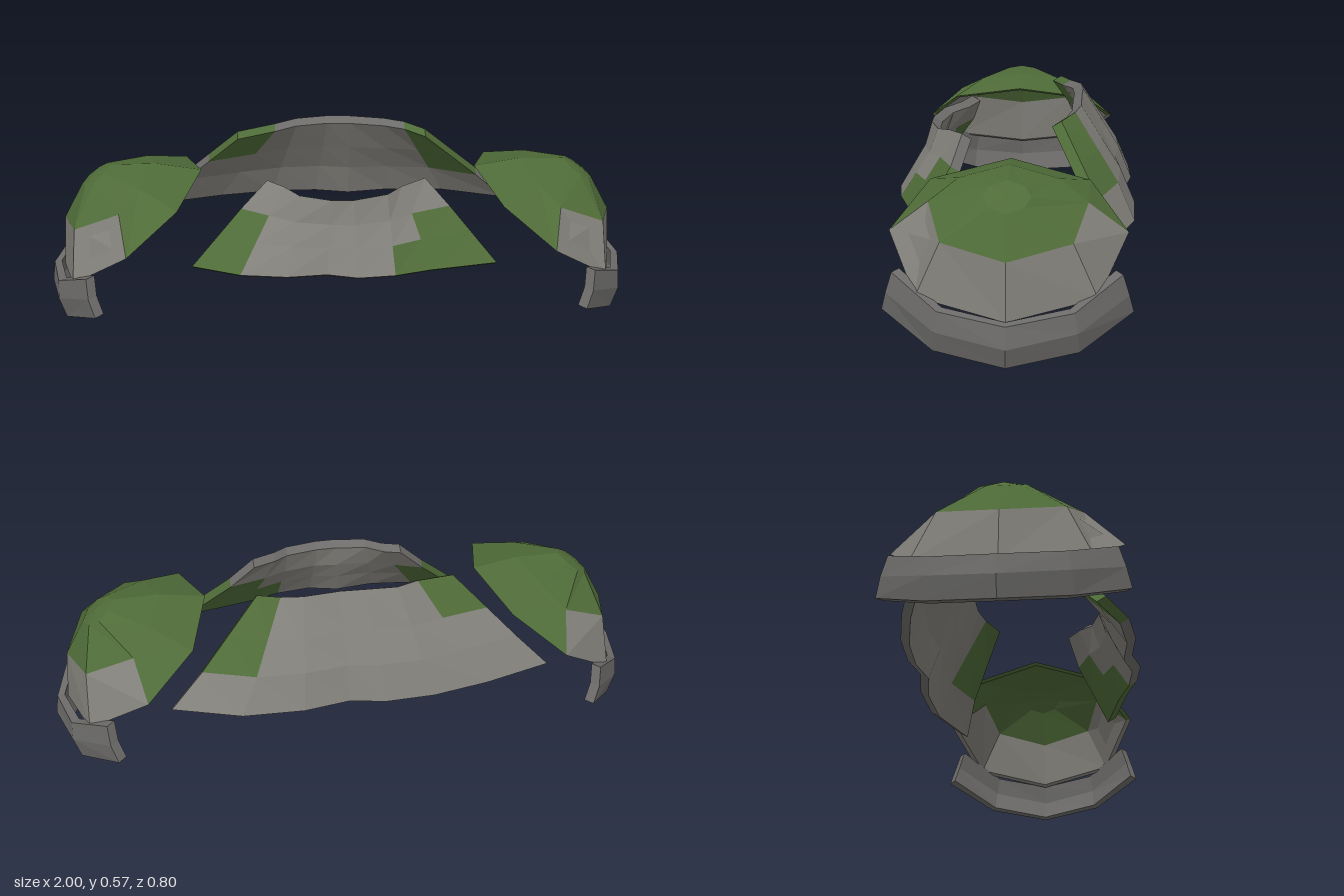
import * as THREE from 'three';

const flat = (name, color) => {
  const m = new THREE.MeshStandardMaterial({ color, flatShading: true, side: THREE.DoubleSide });
  m.name = name;
  return m;
};

// Thick faceted shell between two point grids [row][column]; paint(row, col) picks the material index
function shell(name, outer, inner, paint, materials, edge) {
  const lists = materials.map(() => []);
  const tri = (i, a, b, c) => {
    if (a.distanceTo(b) > 1e-5 && b.distanceTo(c) > 1e-5 && c.distanceTo(a) > 1e-5) {
      for (const p of [a, b, c]) lists[i].push(p.x, p.y, p.z);
    }
  };
  const quad = (i, a, b, c, d) => { tri(i, a, b, c); tri(i, a, c, d); };
  const R = outer.length - 1, C = outer[0].length - 1;
  const rim = (i) => (i === 0 ? edge : i);
  for (let r = 0; r < R; r++) {
    for (let c = 0; c < C; c++) {
      const i = paint(r, c);
      quad(i, outer[r][c], outer[r][c + 1], outer[r + 1][c + 1], outer[r + 1][c]);
      quad(i, inner[r][c + 1], inner[r][c], inner[r + 1][c], inner[r + 1][c + 1]);
    }
  }
  for (let c = 0; c < C; c++) {
    quad(rim(paint(0, c)), inner[0][c], inner[0][c + 1], outer[0][c + 1], outer[0][c]);
    quad(rim(paint(R - 1, c)), outer[R][c], outer[R][c + 1], inner[R][c + 1], inner[R][c]);
  }
  // End walls, left off where the grid closes on itself
  if (outer[0][0].distanceTo(outer[0][C]) > 1e-4) {
    for (let r = 0; r < R; r++) {
      quad(rim(paint(r, 0)), inner[r][0], outer[r][0], outer[r + 1][0], inner[r + 1][0]);
      quad(rim(paint(r, C - 1)), outer[r][C], inner[r][C], inner[r + 1][C], outer[r + 1][C]);
    }
  }
  const geo = new THREE.BufferGeometry();
  let start = 0;
  lists.forEach((l, i) => { geo.addGroup(start, l.length / 3, i); start += l.length / 3; });
  geo.setAttribute('position', new THREE.Float32BufferAttribute(lists.flat(), 3));
  geo.computeVertexNormals();
  const mesh = new THREE.Mesh(geo, materials);
  mesh.name = name;
  return mesh;
}

const V = (x, y, z) => new THREE.Vector3(x, y, z);
const mapGrid = (grid, fn) => grid.map((row) => row.map(fn));

export function createModel() {
  const model = new THREE.Group();
  model.name = 'shoulderArmour';
  const materials = [flat('stoneGrey', 0x82807a), flat('mossGreen', 0x4f6b38), flat('steelGrey', 0x6d6c6a)];
  const GREY = 0, GREEN = 1, STEEL = 2;

  // Shoulder dome: half rings from outer to inner side, [across slope, height off rim plane, z]
  const rings = [
    [[0.298, 0, 0], [0.215, 0, 0.262], [-0.02, 0, 0.356], [-0.215, 0, 0.245], [-0.298, 0, 0]],
    [[0.186, 0.134, 0], [0.116, 0.13, 0.19], [-0.053, 0.1, 0.235], [-0.135, 0.108, 0.15], [-0.187, 0.108, 0]],
    [[0.062, 0.195, 0], [0.04, 0.195, 0.05], [0, 0.193, 0.07], [-0.04, 0.193, 0.05], [-0.062, 0.193, 0]],
    Array(5).fill([0, 0.203, 0]),
  ];
  const closed = rings.map((h) => [...h, ...h.slice(0, 4).reverse().map(([u, n, z]) => [u, n, -z])]);
  const domePoint = (s, k) => ([u, n, z]) =>
    V(s * (0.71 + 0.82 * u * k + 0.57 * n * k), 0.3 - 0.57 * u * k + 0.82 * n * k, z * k);

  // Arm guard under the dome: stations along z, each [bottom, middle, top]
  const half = [
    [[0.978, 0, 0], [1.0, 0.065, 0], [0.99, 0.132, 0]],
    [[0.925, 0.028, 0.21], [0.948, 0.095, 0.205], [0.945, 0.157, 0.195]],
    [[0.805, 0.105, 0.37], [0.825, 0.165, 0.355], [0.83, 0.23, 0.335]],
  ];
  const stations = [2, 1, 0, 1, 2].map((i, k) => half[i].map(([x, y, z]) => [x, y, k < 2 ? -z : z]));

  for (const s of [1, -1]) {
    const side = s > 0 ? 'left' : 'right';
    model.add(shell(`${side}ShoulderDome`,
      mapGrid(closed, domePoint(s, 1)), mapGrid(closed, domePoint(s, 0.95)),
      (r, c) => (r === 0 && (c < 2 || c > 5) ? GREY : GREEN), materials, GREY));
    const guard = [0, 1, 2].map((r) => stations.map((st) => V(s * st[r][0], st[r][1], st[r][2])));
    model.add(shell(`${side}ArmGuard`, guard,
      mapGrid(guard, (p) => V(p.x - s * 0.025, p.y + 0.004, p.z * 0.94)),
      () => STEEL, materials, STEEL));
  }

  // Collar plate: columns of [bottom x, bottom z, top x, top y, top z], rows at fixed fractions
  const collar = (name, columns, bulge, paint) => {
    const outer = [0, 0.35, 0.65, 1].map((t, r) => columns.map(([bx, bz, tx, ty, tz]) =>
      V(bx + (tx - bx) * t, 0.247 + (ty - 0.247) * t, bz + (tz - bz) * t + bulge[r])));
    const dir = Math.sign(columns[0][1]);
    const inner = mapGrid(outer, (p) => V(p.x, p.y - 0.018, p.z - dir * 0.03));
    model.add(shell(name, outer, inner, paint, materials, STEEL));
  };

  collar('frontCollarPlate', [
    [-0.49, 0.29, -0.24, 0.496, 0.165], [-0.33, 0.36, -0.185, 0.487, 0.2],
    [-0.18, 0.38, -0.135, 0.478, 0.255], [-0.05, 0.367, -0.03, 0.472, 0.285],
    [0.05, 0.395, 0.04, 0.472, 0.285], [0.17, 0.382, 0.15, 0.478, 0.255],
    [0.29, 0.345, 0.2, 0.487, 0.21], [0.51, 0.3, 0.28, 0.496, 0.165],
  ], [0, -0.008, -0.015, 0],
  (r, c) => ((r < 2 && (c === 0 || c === 6)) || (r === 0 && c === 5) ? GREEN : GREY));

  collar('backCollarPlate', [
    [-0.65, -0.3, -0.345, 0.548, -0.155], [-0.42, -0.365, -0.215, 0.562, -0.19],
    [-0.23, -0.4, -0.14, 0.568, -0.225], [-0.07, -0.403, -0.03, 0.575, -0.23],
    [0.05, -0.377, 0.05, 0.575, -0.225], [0.2, -0.4, 0.17, 0.566, -0.22],
    [0.4, -0.39, 0.24, 0.56, -0.2], [0.62, -0.31, 0.31, 0.548, -0.155],
  ], [0, -0.015, -0.008, 0],
  (r, c) => ((r === 2 && c === 0) || (r > 0 && c === 6) ? GREEN : GREY));

  return model;
}
